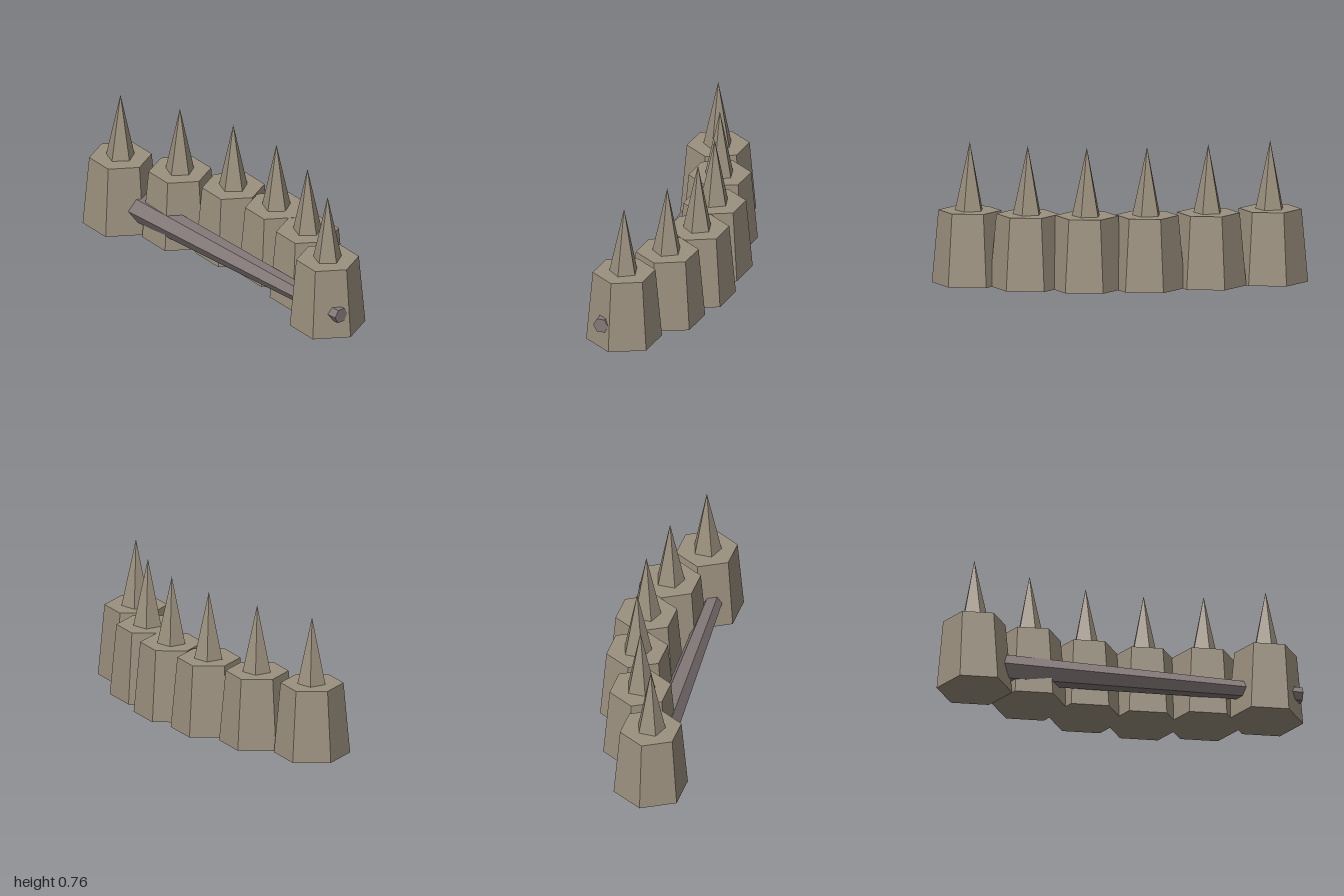
import * as THREE from 'three';

export function createModel() {
  const group = new THREE.Group();
  group.name = 'spikedBarricade';

  const stone = new THREE.MeshStandardMaterial({ color: 0x9c917f, flatShading: true });
  stone.name = 'stone';
  const wood = new THREE.MeshStandardMaterial({ color: 0x857979, flatShading: true });
  wood.name = 'weathered wood';

  // Tapered hexagonal block with a five-sided spike, corners pointing along x
  const blockHeight = 0.392;
  const spikeHeight = 0.368;
  const block = new THREE.CylinderGeometry(0.168, 0.203, blockHeight, 6)
    .rotateY(Math.PI / 2)
    .translate(0, blockHeight / 2, 0);
  const spike = new THREE.ConeGeometry(0.079, spikeHeight, 5)
    .rotateY(Math.PI / 2)
    .translate(0, blockHeight + spikeHeight / 2, 0);

  // Six posts set along a shallow arc
  const depths = [0.16, 0.004, -0.112, -0.159, -0.125, -0.018];
  depths.forEach((z, i) => {
    const post = new THREE.Group();
    post.name = `post${i + 1}`;
    post.position.set(-0.797 + i * 0.3184, 0, z);
    const base = new THREE.Mesh(block, stone);
    base.name = 'postBase';
    const tip = new THREE.Mesh(spike, stone);
    tip.name = 'spike';
    post.add(base, tip);
    group.add(post);
  });

  // Tapered hexagonal beam, from inside the first post out through the last
  const start = new THREE.Vector3(-0.8, 0.14, 0.156);
  const end = new THREE.Vector3(0.983, 0.14, 0.033);
  const beam = new THREE.Mesh(
    new THREE.CylinderGeometry(0.043, 0.082, start.distanceTo(end), 6).rotateZ(-Math.PI / 2),
    wood
  );
  beam.name = 'beam';
  beam.position.copy(start).add(end).multiplyScalar(0.5);
  beam.rotation.y = Math.atan2(start.z - end.z, end.x - start.x);
  group.add(beam);

  return group;
}
